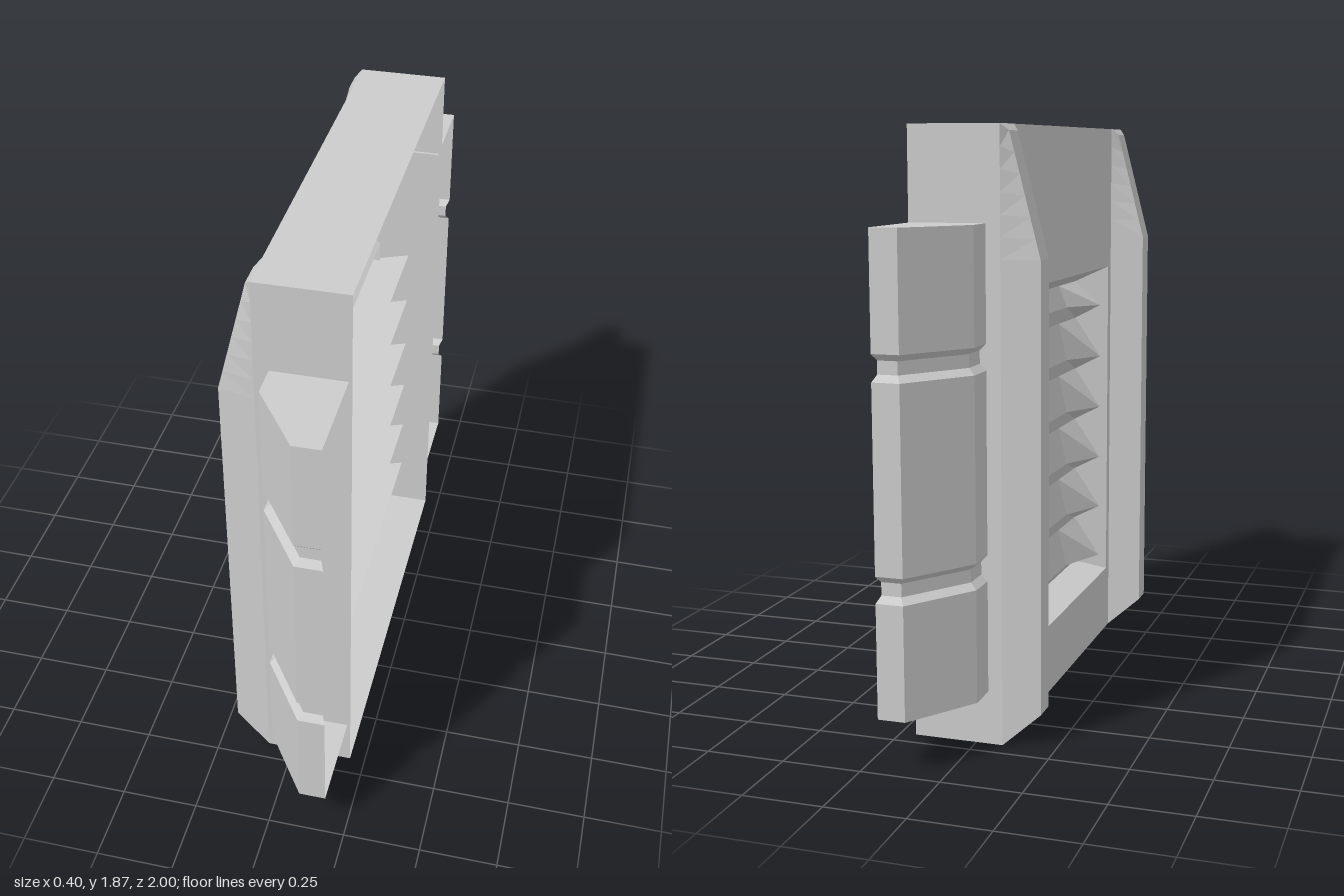
import * as THREE from 'three';

const mat = new THREE.MeshStandardMaterial({ color: 0xcccccc, flatShading: true, side: THREE.DoubleSide });

// Skin rows of [x, y, z] points with flat quads
function loft(name, rows) {
  const pos = [];
  for (let i = 0; i < rows.length - 1; i++) {
    for (let j = 0; j < rows[i].length - 1; j++) {
      const a = rows[i][j], b = rows[i][j + 1], c = rows[i + 1][j + 1], d = rows[i + 1][j];
      pos.push(...a, ...b, ...c, ...a, ...c, ...d);
    }
  }
  const g = new THREE.BufferGeometry();
  g.setAttribute('position', new THREE.Float32BufferAttribute(pos, 3));
  g.computeVertexNormals();
  const m = new THREE.Mesh(g, mat);
  m.name = name;
  return m;
}

const BACK = -0.085, OPEN = 0.2, H = 1.87, HALF = 0.69;
// Louvre window: outer half width, narrower half width at the groove depth
const WIN = 0.525, INNER = 0.49, GROOVE = 0.03, PITCH = 0.189;

// Plate with the louvre window
function plate() {
  const rect = (path, z, y0, y1) => path.moveTo(-z, y0).lineTo(z, y0).lineTo(z, y1).lineTo(-z, y1).closePath();
  const s = rect(new THREE.Shape(), 0.56, 0, H);
  s.holes.push(rect(new THREE.Path(), WIN, 0.23, 1.375));
  const g = new THREE.ShapeGeometry(s);
  g.rotateY(-Math.PI / 2);
  g.translate(BACK, 0, 0);
  const m = new THREE.Mesh(g, mat);
  m.name = 'windowPlate';
  return m;
}

// Thin rim around the open side
function rim() {
  const loop = [[0, -HALF], [0, HALF], [H, HALF], [H, -HALF], [0, -HALF]];
  return loft('rim', [BACK, OPEN].map(x => loop.map(([y, z]) => [x, y, z])));
}

// Hollow tapered rib with a chamfered foot and sloped top
function rib(s) {
  const row = (baseY, topX, topY, flat) => [
    [BACK, baseY, s * HALF],
    [topX, topY, s * (flat ? HALF : 0.665)],
    [topX, topY, s * (flat ? 0.56 : 0.585)],
    [BACK, baseY, s * 0.56],
  ];
  const rows = [row(0, BACK, 0, true), row(0.1, -0.2, 0.1)];
  // The slope is split so its gently twisted sides stay even
  for (let i = 0; i <= 6; i++) {
    const t = i / 6;
    rows.push(row(1.48 + 0.39 * t, -0.2 + 0.095 * t, 1.48 + 0.37 * t));
  }
  rows.push(row(H, BACK, H, true));
  return loft('rib', rows);
}

// Open-backed side wing with two grooves
function wing(s) {
  const outer = [[0.19, 0.68], [-0.04, 0.68], [-0.04, 0.79], [0.105, 1], [0.19, 1]];
  const inset = [[0.18, 0.68], [-0.02, 0.68], [-0.02, 0.78], [0.118, 0.98], [0.18, 0.98]];
  const ring = (y, profile) => profile.map(([x, z]) => [x, y, s * z]);
  const rows = [ring(0.167, outer)];
  for (const y of [0.555, 1.195]) {
    rows.push(ring(y - 0.04, outer), ring(y - 0.02, inset), ring(y + 0.02, inset), ring(y + 0.04, outer));
  }
  rows.push(ring(1.585, outer));
  const g = new THREE.Group();
  g.name = 'wing';
  g.add(loft('wingShell', rows));
  // End caps
  for (const p of [rows[0], rows[rows.length - 1]]) {
    g.add(loft('wingCap', [[p[1], p[2], p[3]], [p[0], p[0], p[4]]]));
  }
  return g;
}

// Nose of a slat, set back in the middle; z is the station, y the lip height
const STATIONS = [-INNER, -0.28, 0.28, INNER];
const nose = (y, z) => (Math.abs(z) < 0.3 ? [0, y - 0.018, z] : [-0.065, y - 0.028, z]);

// Slat: lip rising inwards, undercut below the nose, then a slope to the next nose
function slat(y, last) {
  const g = new THREE.Group();
  g.name = 'slat';
  g.add(loft('lip', STATIONS.map(z => [[0.125, y, z * WIN / INNER], nose(y, z)])));
  g.add(loft('slope', STATIONS.map(z => (last
    ? [nose(y, z), [GROOVE, 0.26, z], [BACK, 0.23, z * WIN / INNER]]
    : [nose(y, z), [GROOVE, y - 0.078, z], nose(y - PITCH, z)]))));
  return g;
}

export function createModel() {
  const model = new THREE.Group();
  model.name = 'louvredPanel';
  model.add(plate(), rim());
  for (const s of [-1, 1]) {
    model.add(rib(s), wing(s));
    // Slanted side of the louvre box
    model.add(loft('louvreCheek', [
      [[BACK, 0.23, s * WIN], [GROOVE, 0.26, s * INNER]],
      [[BACK, 1.375, s * WIN], [GROOVE, 1.32, s * INNER]],
    ]));
  }
  // Hood above the first slat
  const top = 1.263;
  model.add(loft('hood', STATIONS.map(z => [
    [BACK, 1.375, z * WIN / INNER], [GROOVE, 1.32, z], nose(top, z)])));
  for (let i = 0; i < 6; i++) model.add(slat(top - i * PITCH, i === 5));
  return model;
}
